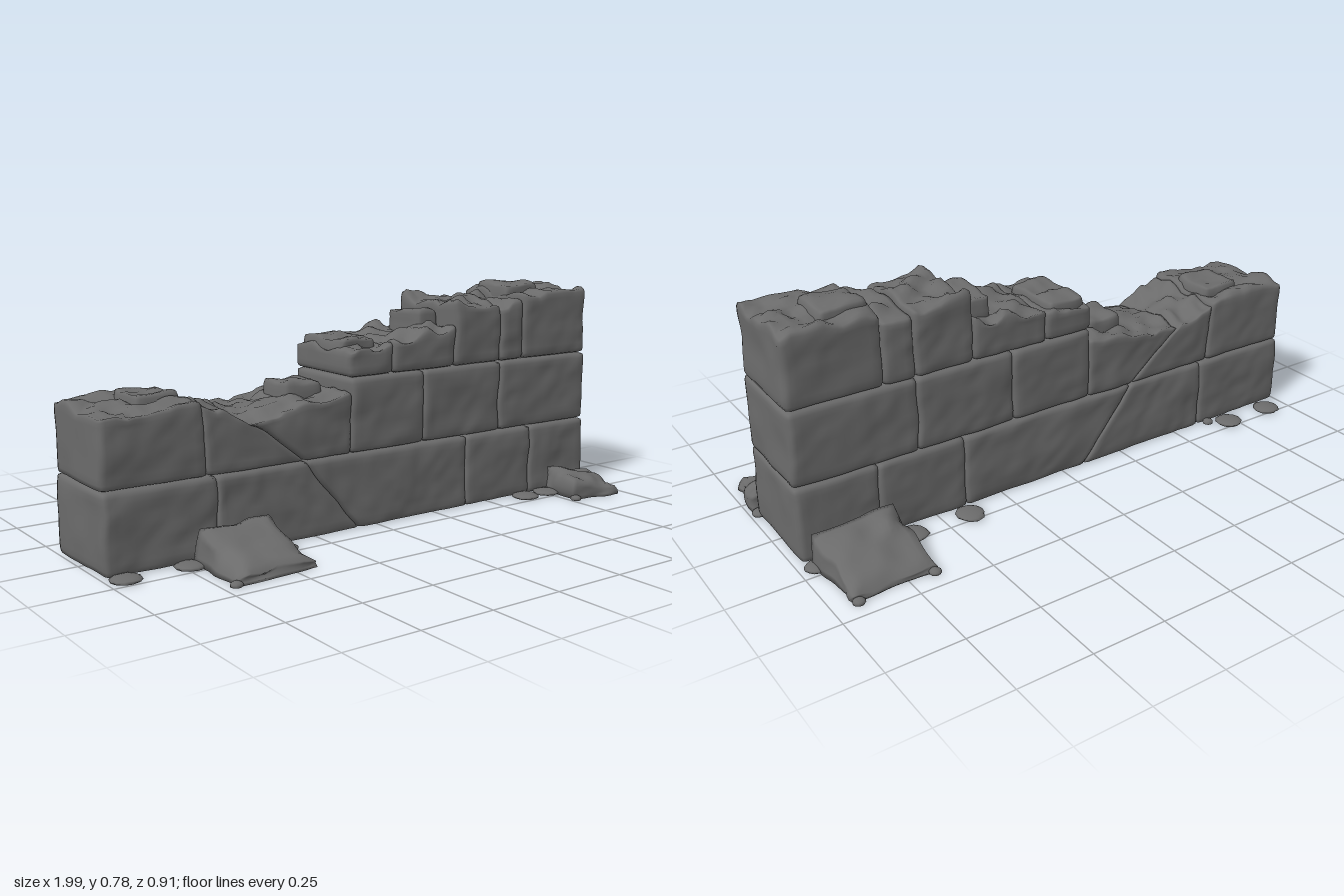
import * as THREE from 'three';
import { mergeVertices } from 'three/addons/utils/BufferGeometryUtils.js';

const stone = new THREE.MeshStandardMaterial({ color: 0x6b6b6b });
stone.name = 'grey stone';

// Smooth value noise in the range -1..1
const hash = (i, j, k) => {
  const s = Math.sin(i * 127.1 + j * 311.7 + k * 74.7) * 43758.5453;
  return (s - Math.floor(s)) * 2 - 1;
};
function noise(x, y, z) {
  const i = Math.floor(x), j = Math.floor(y), k = Math.floor(z);
  const f = (t) => t * t * (3 - 2 * t);
  const u = f(x - i), v = f(y - j), w = f(z - k);
  const mix = THREE.MathUtils.lerp;
  const row = (b, c) => mix(hash(i, b, c), hash(i + 1, b, c), u);
  return mix(mix(row(j, k), row(j + 1, k), v), mix(row(j, k + 1), row(j + 1, k + 1), v), w);
}

// Rough stone: a finely divided box with rounded edges, mapped onto a
// quadrilateral in x-y (bottom left/right, top left/right) and worn by noise
function roughStone(name, [bl, br, tl, tr], y0, yl, yr, z0, z1, wear = 0.02, r = 0.014) {
  const w = Math.max(br - bl, tr - tl), h = Math.max(yl, yr) - y0, d = z1 - z0;
  const n = (s) => Math.max(4, Math.ceil(s / 0.02));
  let g = new THREE.BoxGeometry(w, h, d, n(w), n(h), n(d));
  g.deleteAttribute('normal');
  g.deleteAttribute('uv');
  g = mergeVertices(g);
  const p = g.attributes.position, v = new THREE.Vector3(), c = new THREE.Vector3();
  const half = new THREE.Vector3(w / 2 - r, h / 2 - r, d / 2 - r);
  for (let i = 0; i < p.count; i++) {
    v.fromBufferAttribute(p, i);
    c.copy(v).clamp(half.clone().negate(), half);
    v.sub(c);
    if (v.lengthSq() > 0) v.setLength(r);
    v.add(c);
    const s = v.x / w + 0.5, t = v.y / h + 0.5;
    const lerp = THREE.MathUtils.lerp;
    const x = lerp(lerp(bl, br, s), lerp(tl, tr, s), t);
    const y = lerp(y0, lerp(yl, yr, s), t);
    const z = (z0 + z1) / 2 + v.z;
    const face = noise(x * 9, y * 11, z * 9) * 0.006 + noise(x * 23, y * 27, z * 23) * 0.003;
    const top = (noise(x * 14 + 5, 3, z * 14) + noise(x * 31, 8, z * 31) * 0.5) * wear * t ** 6;
    p.setXYZ(i, x + noise(x * 11 + 40, y * 11, z * 11) * 0.006, Math.max(0, y + top - wear * 0.5 * t ** 6), z + Math.sign(v.z) * face);
  }
  g.computeVertexNormals();
  const m = new THREE.Mesh(g, stone);
  m.name = name;
  return m;
}

// Fallen slab: a box with its top sloping outward from the wall
function slab(name, x, z, w, d, turn, heights) {
  const [backL, backR, frontL, frontR] = heights;
  let g = new THREE.BoxGeometry(w, 1, d, 12, 4, 12);
  g.deleteAttribute('normal');
  g.deleteAttribute('uv');
  g = mergeVertices(g);
  const p = g.attributes.position;
  for (let i = 0; i < p.count; i++) {
    const u = p.getX(i) / w + 0.5, t = p.getY(i) + 0.5, q = p.getZ(i) / d + 0.5;
    const back = backL + (backR - backL) * u, front = frontL + (frontR - frontL) * u;
    const edge = Math.max(Math.abs(u - 0.5), Math.abs(q - 0.5)) * 2;
    const h = back + (front - back) * q - 0.012 * edge ** 8;
    const shrink = 1 - 0.08 * t * t;
    const px = (u - 0.5) * w * shrink, pz = (q - 0.5) * d * (1 - 0.04 * t);
    p.setXYZ(i,
      px + noise(x * 30 + q * 4, t * 2, u * 3) * 0.012,
      t * (h + noise(u * 4 + x * 9, q * 4, 2) * 0.008),
      pz + noise(u * 4, t * 2, x * 30 + q * 3) * 0.01);
  }
  g.computeVertexNormals();
  const m = new THREE.Mesh(g, stone);
  m.name = name;
  m.position.set(x, 0, z);
  m.rotation.y = turn;
  return m;
}

// Small flat pebble lying on the ground
function pebble(x, z, r) {
  let g = new THREE.SphereGeometry(1, 12, 8);
  g.deleteAttribute('normal');
  g.deleteAttribute('uv');
  g = mergeVertices(g);
  const p = g.attributes.position;
  for (let i = 0; i < p.count; i++) {
    const s = 1 + noise(p.getX(i) * 1.5 + x * 20, p.getY(i) * 1.5, p.getZ(i) * 1.5 + z * 20) * 0.15;
    p.setXYZ(i, p.getX(i) * r * s, Math.max(0, 0.006 + p.getY(i) * 0.012), p.getZ(i) * r * s);
  }
  g.computeVertexNormals();
  const m = new THREE.Mesh(g, stone);
  m.name = 'pebble';
  m.position.set(x, 0, z);
  return m;
}

export function createModel() {
  const model = new THREE.Group();
  model.name = 'ruinedWall';

  // Wall courses; slanted joints form the diagonal crack
  const lower = [
    [-0.99, -0.61, -0.99, -0.61], [-0.61, -0.08, -0.61, -0.29], [-0.08, 0.39, -0.29, 0.39],
    [0.39, 0.7, 0.39, 0.7], [0.7, 0.975, 0.7, 0.975],
  ];
  for (const q of lower) model.add(roughStone('lowerCourseStone', q, 0, 0.255, 0.255, -0.17, 0.17, 0));

  const middle = [
    [[-0.99, -0.64, -0.99, -0.66], 0.49, 0.495],
    [[-0.64, -0.29, -0.66, -0.5], 0.485, 0.425],
    [[-0.29, -0.11, -0.5, -0.11], 0.425, 0.48],
    [[-0.11, 0.2, -0.11, 0.2], 0.505, 0.505],
    [[0.2, 0.55, 0.2, 0.55], 0.505, 0.505],
    [[0.55, 0.975, 0.55, 0.975], 0.505, 0.505],
  ];
  middle.forEach(([q, l, r], i) =>
    model.add(roughStone('middleCourseStone', q, 0.255, l, r, -0.165, 0.165, i < 3 ? 0.022 : 0)));

  const upper = [
    [-0.11, 0.07, 0.605, 0.615], [0.07, 0.34, 0.62, 0.655], [0.34, 0.55, 0.735, 0.73],
    [0.55, 0.66, 0.715, 0.73], [0.66, 0.975, 0.755, 0.76],
  ];
  for (const [a, b, l, r] of upper) {
    model.add(roughStone('upperCourseStone', [a, b, a, b], 0.505, l, r, -0.163, 0.163, 0.022, 0.018));
  }

  // Broken stones left on top of the wall
  const caps = [
    [-0.83, -0.67, 0.44, 0.515, -0.1, 0.06], [-0.3, -0.15, 0.4, 0.5, -0.08, 0.06],
    [-0.105, 0.05, 0.56, 0.63, -0.14, 0.09], [0.24, 0.34, 0.6, 0.7, -0.1, 0.07],
    [0.66, 0.83, 0.7, 0.775, -0.1, 0.06],
  ];
  for (const [a, b, y0, y1, z0, z1] of caps) {
    model.add(roughStone('capStone', [a, b, a + 0.01, b - 0.01], y0, y1, y1, z0, z1, 0.012));
  }

  // Fallen slabs leaning at the foot of the wall
  model.add(slab('frontRightSlab', -0.57, 0.31, 0.27, 0.24, 0.05, [0.12, 0.12, 0.04, 0.04]));
  model.add(slab('frontLeftSlab', 0.875, 0.265, 0.2, 0.18, -0.2, [0.1, 0.06, 0.075, 0.04]));
  model.add(slab('backLeftSlab', 0.8, -0.31, 0.29, 0.24, 0.03, [0.03, 0.03, 0.125, 0.125]));

  // Pebbles scattered along both faces
  const pebbles = [
    [-0.91, -0.22, 0.048], [-0.72, -0.22, 0.048], [0.41, -0.22, 0.048], [0.62, -0.22, 0.048],
    [-0.94, 0.205, 0.048], [-0.73, 0.205, 0.048], [-0.44, 0.2, 0.048], [0.65, 0.205, 0.048],
    [0.75, 0.205, 0.048], [-0.395, 0.23, 0.028], [-0.71, 0.435, 0.02], [0.665, -0.435, 0.02],
    [0.92, -0.44, 0.02], [0.77, 0.34, 0.02], [0.95, -0.21, 0.035], [-0.65, -0.18, 0.02],
    [0.97, 0.17, 0.025],
  ];
  for (const q of pebbles) model.add(pebble(...q));

  return model;
}
